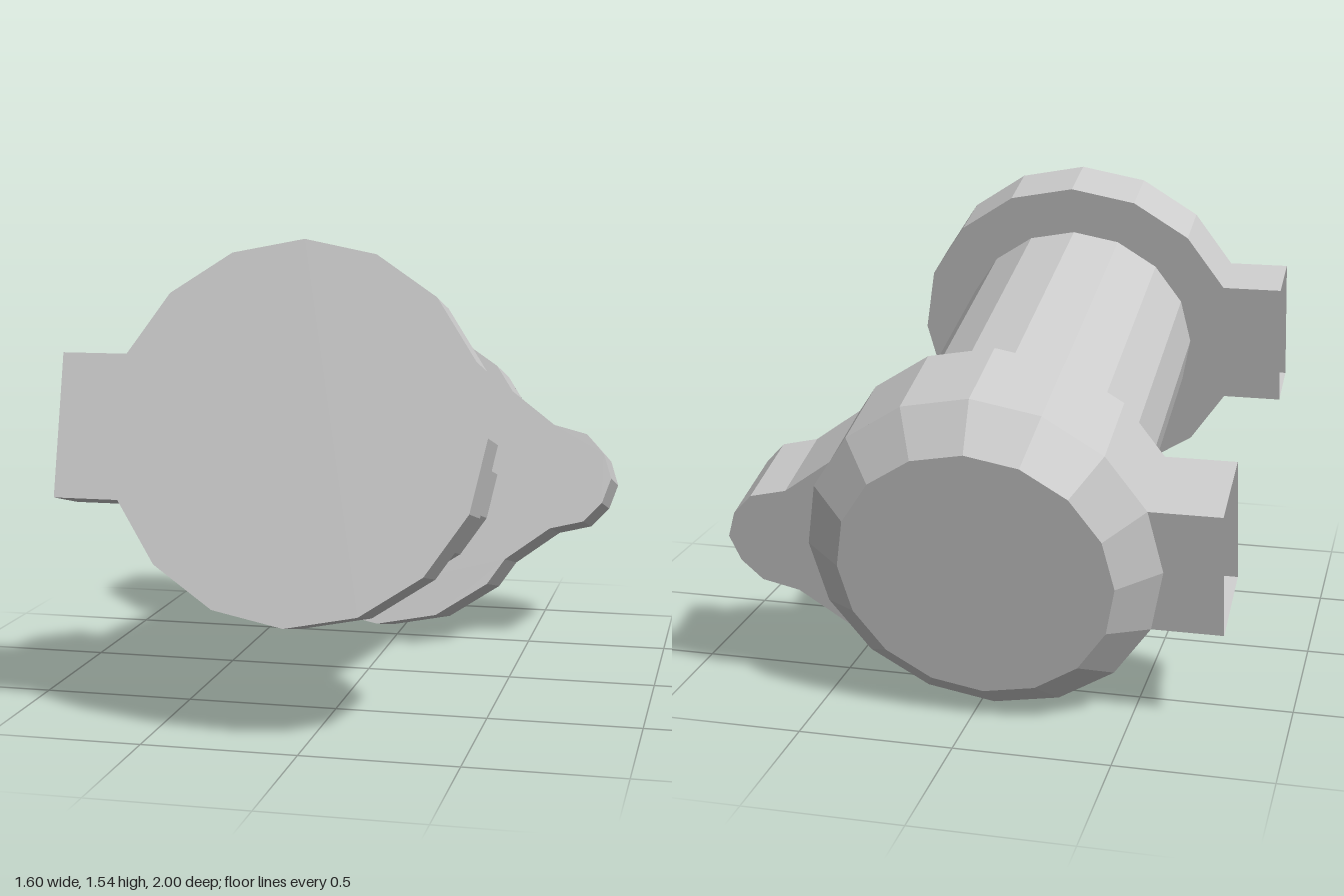
import * as THREE from 'three';

const SIDES = 16;
const material = new THREE.MeshStandardMaterial({ color: 0xcccccc, flatShading: true, side: THREE.DoubleSide });

// Point on a 16-sided ring, counted counter-clockwise from +x
const ringPoint = (r, i) => {
  const a = (i / SIDES) * Math.PI * 2;
  return new THREE.Vector2(r * Math.cos(a), r * Math.sin(a));
};
const ring = (r, from = 0, to = SIDES - 1) =>
  Array.from({ length: to - from + 1 }, (_, i) => ringPoint(r, from + i));

function meshFrom(name, positions) {
  const geometry = new THREE.BufferGeometry();
  geometry.setAttribute('position', new THREE.Float32BufferAttribute(positions, 3));
  geometry.computeVertexNormals();
  const mesh = new THREE.Mesh(geometry, material);
  mesh.name = name;
  return mesh;
}

// Flat plate face, optionally with a hole, facing +z or -z
function addCap(out, outline, holes, z, faceBack) {
  const points = [...outline, ...holes.flat()];
  for (const tri of THREE.ShapeUtils.triangulateShape(outline, holes)) {
    const order = faceBack ? [...tri].reverse() : tri;
    for (const i of order) out.push(points[i].x, points[i].y, z);
  }
}

// Band of quads between two matching counter-clockwise loops (a behind, b in front)
function addWalls(out, a, za, b, zb, skip = () => false) {
  a.forEach((p, i) => {
    const j = (i + 1) % a.length;
    if (skip(p, a[j])) return;
    out.push(p.x, p.y, za, a[j].x, a[j].y, za, b[j].x, b[j].y, zb);
    out.push(p.x, p.y, za, b[j].x, b[j].y, zb, b[i].x, b[i].y, zb);
  });
}

const TAB_END = -0.755;
const BARREL_R = 0.423;

// Round plate with a square tab on -x whose outer end is left open
function flange(name, outline, zFront, zBack, frontHoles, backHoles) {
  const out = [];
  addCap(out, outline, frontHoles, zFront, false);
  addCap(out, outline, backHoles, zBack, true);
  addWalls(out, outline, zBack, outline, zFront, (p, q) => p.x === TAB_END && q.x === TAB_END);
  return meshFrom(name, out);
}

// Two corners of the tab end, level with the ring points next to -x
const tabCorners = (r) => [7, 9].map((i) => new THREE.Vector2(TAB_END, ringPoint(r, i).y));

export function createModel() {
  const group = new THREE.Group();
  group.name = 'tiltedFlangedBarrel';
  const body = new THREE.Group();
  body.name = 'tiltedBody';
  const bore = ring(BARREL_R);

  // Front flange
  const R1 = 0.593;
  const frontOutline = [...ring(R1, 0, 7), ...tabCorners(R1), ...ring(R1, 9, 15)];
  body.add(flange('frontFlange', frontOutline, 0, -0.206, [], [bore]));

  // Barrel
  const barrel = [];
  addWalls(barrel, bore, -1.372, bore, -0.206);
  body.add(meshFrom('barrel', barrel));

  // Rear flange with a rounded lug on +x
  const R2 = 0.57;
  const lugHalf = [[0.81, 0.09], [0.745, 0.16], [0.625, 0.19], [0.465, 0.31]];
  const lugUpper = lugHalf.map(([x, y]) => new THREE.Vector2(x, y));
  const lugLower = lugHalf.map(([x, y]) => new THREE.Vector2(x, -y)).reverse();
  const rearOutline = [
    new THREE.Vector2(0.84, 0), ...lugUpper, ...ring(R2, 2, 7),
    ...tabCorners(R2), ...ring(R2, 9, 14), ...lugLower,
  ];
  body.add(flange('rearFlange', rearOutline, -1.372, -1.689, [bore], []));

  // Bevelled rear cap
  const cap = [];
  addWalls(cap, ring(0.44), -1.8, ring(R2), -1.689);
  addCap(cap, ring(0.44), [], -1.8, true);
  body.add(meshFrom('rearCap', cap));

  // Tilt so the front end sits higher
  body.rotation.x = -0.247;
  body.position.set(-0.043, 0.968, 0.855);
  group.add(body);
  return group;
}
